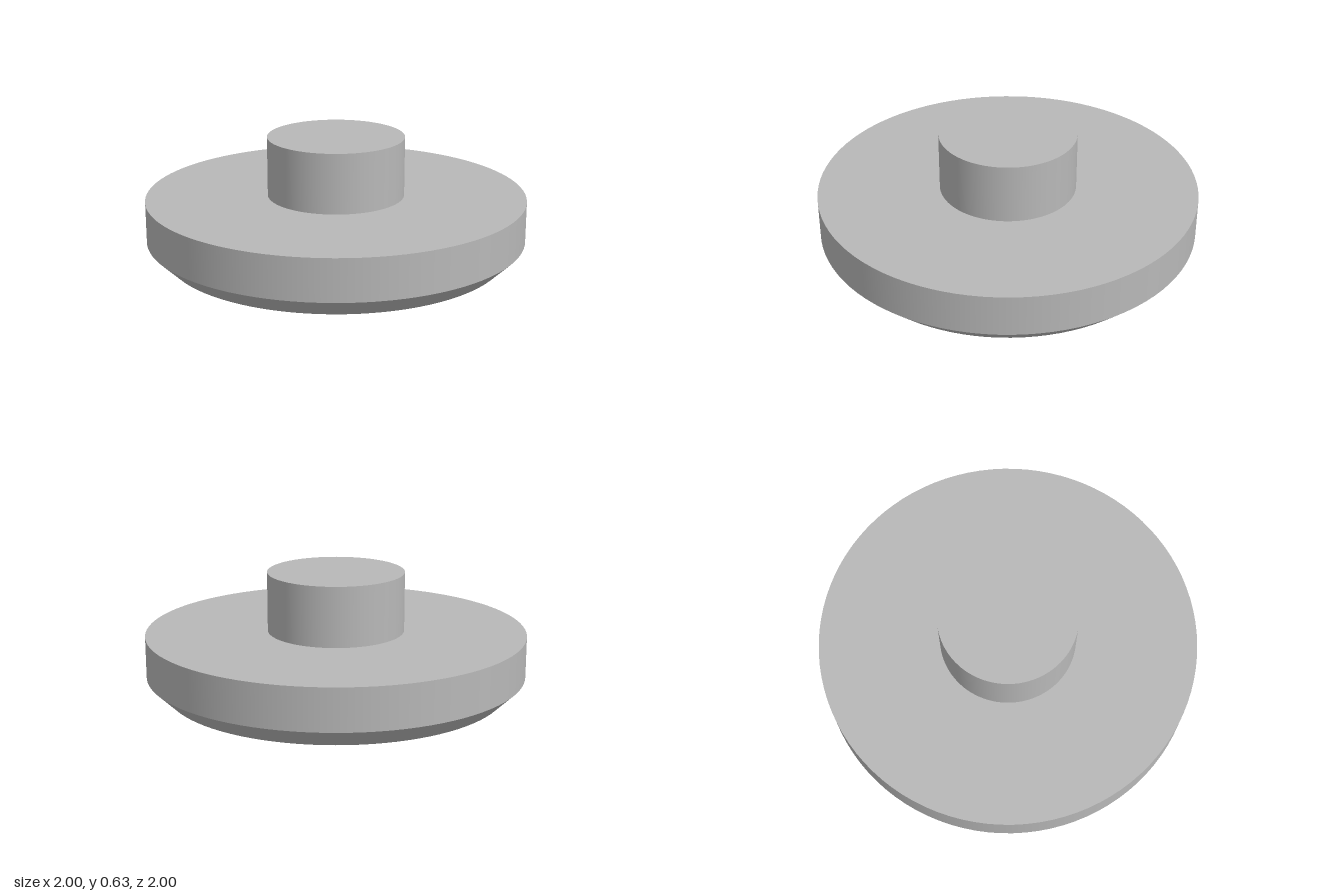
import * as THREE from 'three';
import { mergeGeometries } from 'three/addons/utils/BufferGeometryUtils.js';

const SEGMENTS = 96;

// Revolves each profile segment separately, so edges between them stay sharp.
function turned(profile) {
  const points = profile.map(([r, y]) => new THREE.Vector2(r, y));
  const bands = [];
  for (let i = 0; i < points.length - 1; i++) {
    bands.push(new THREE.LatheGeometry([points[i], points[i + 1]], SEGMENTS));
  }
  return mergeGeometries(bands);
}

export function createModel() {
  const group = new THREE.Group();
  group.name = 'flangedPlug';

  const grey = new THREE.MeshStandardMaterial({ color: 0xb8b8b8 });
  grey.name = 'light grey';

  const stemRadius = 0.36;
  const discTop = 0.315;

  // Wide disc with a chamfered lower rim, closed underneath
  const disc = new THREE.Mesh(
    turned([[0, 0], [0.9, 0], [1, 0.097], [1, discTop], [stemRadius, discTop]]),
    grey
  );
  disc.name = 'disc';
  group.add(disc);

  // Short round stem rising from the centre
  const stem = new THREE.Mesh(
    turned([[stemRadius, discTop], [stemRadius, 0.63], [0, 0.63]]),
    grey
  );
  stem.name = 'stem';
  group.add(stem);

  return group;
}
